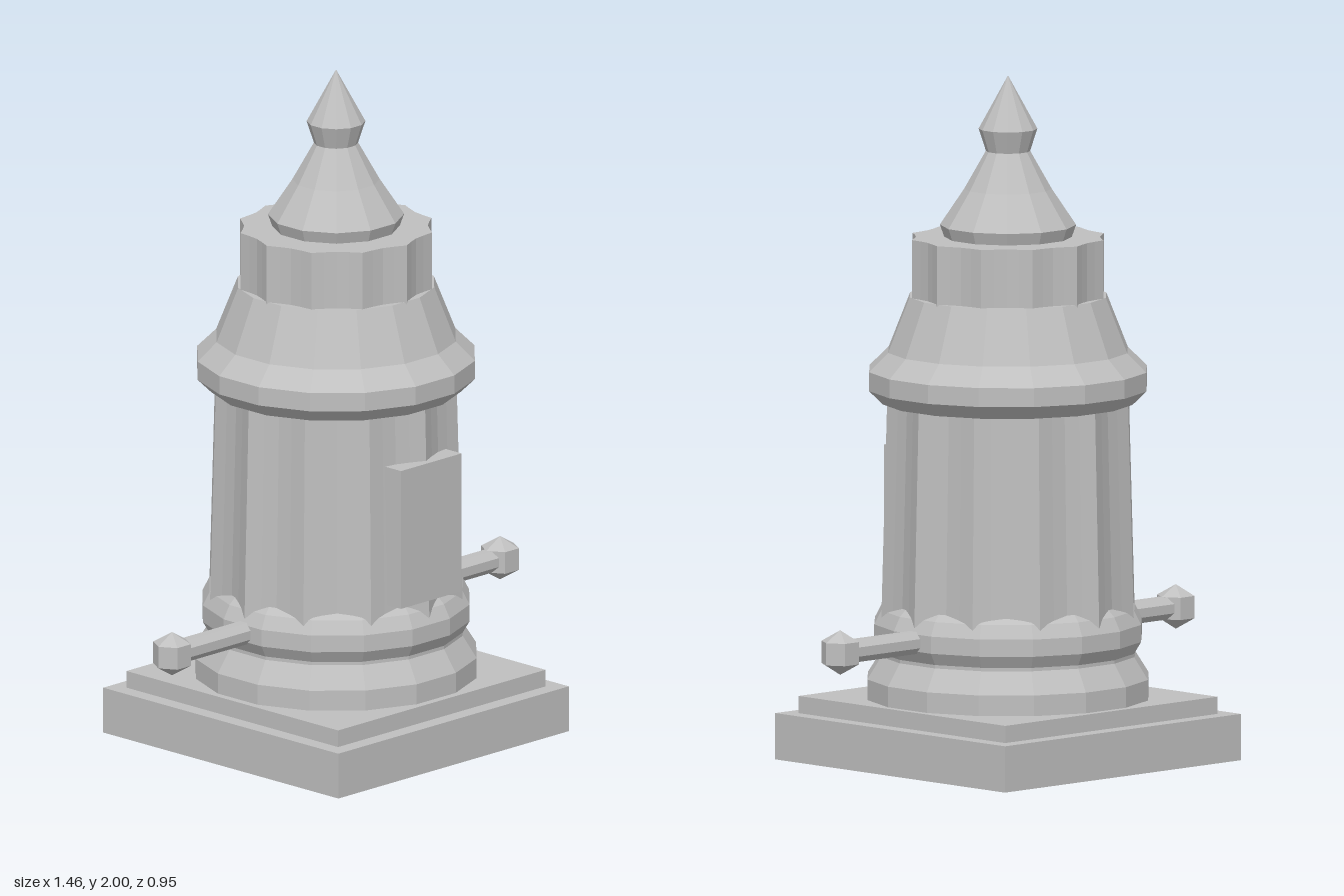
import * as THREE from 'three';

export function createModel() {
  const model = new THREE.Group();
  model.name = 'stonePillar';
  const stone = new THREE.MeshStandardMaterial({ color: 0xbfbfbf, flatShading: true });
  stone.name = 'grey stone';

  function add(name, geometry, x = 0, y = 0, z = 0) {
    const mesh = new THREE.Mesh(geometry, stone);
    mesh.name = name;
    mesh.position.set(x, y, z);
    model.add(mesh);
    return mesh;
  }

  // Faceted turned part with flats facing the front and sides; widths are measured across the flats
  function turned(name, sides, profile) {
    const k = 1 / Math.cos(Math.PI / sides);
    const points = profile.map(([r, y]) => new THREE.Vector2(r * k, y));
    return add(name, new THREE.LatheGeometry(points, sides, Math.PI / sides));
  }

  // Cylinder with twelve concave flutes between sharp ridges
  function fluted(name, rTop, rBottom, y0, y1) {
    const depth = [1, 0.95, 0.928, 0.95];
    const geo = new THREE.CylinderGeometry(rTop, rBottom, y1 - y0, 48);
    const p = geo.attributes.position;
    for (let i = 0; i < p.count; i++) {
      const a = Math.atan2(p.getX(i), p.getZ(i)) + Math.PI * 2;
      const f = depth[Math.round(a / (Math.PI / 24)) % 4];
      p.setX(i, p.getX(i) * f);
      p.setZ(i, p.getZ(i) * f);
    }
    geo.computeVertexNormals();
    return add(name, geo, 0, (y0 + y1) / 2, 0);
  }

  // Square footing
  add('plinth', new THREE.BoxGeometry(0.95, 0.135, 0.95), 0, 0.0725, 0);
  add('plinthStep', new THREE.BoxGeometry(0.855, 0.055, 0.855), 0, 0.1625, 0);

  // Moulded base, fluted column and flared collar
  turned('baseMoulding', 16, [
    [0, 0.19], [0.405, 0.19], [0.405, 0.25], [0.365, 0.315], [0.365, 0.325],
    [0.385, 0.36], [0.385, 0.41], [0.365, 0.45], [0.34, 0.475], [0, 0.475],
  ]);
  fluted('column', 0.36, 0.378, 0.4, 1.06);
  turned('collar', 16, [
    [0, 1.05], [0.36, 1.05], [0.4, 1.09], [0.4, 1.145], [0.345, 1.2], [0.283, 1.36], [0, 1.36],
  ]);

  // Inner shaft, showing above the collar as a fluted crown
  fluted('crownShaft', 0.286, 0.286, 0, 1.53);

  // Pointed roof and finial
  turned('roof', 12, [[0, 1.53], [0.178, 1.53], [0.19, 1.565], [0.122, 1.67], [0.062, 1.78], [0, 1.78]]);
  turned('finial', 12, [[0, 1.775], [0.06, 1.775], [0.082, 1.845], [0, 2]]);

  // Raised panel on the front
  add('frontPanel', new THREE.BoxGeometry(0.25, 0.415, 0.065), 0, 0.69, 0.3525);

  // Side arms with knobs
  for (const side of [1, -1]) {
    const prefix = side > 0 ? 'left' : 'right';
    const rod = new THREE.CylinderGeometry(0.035, 0.035, 0.3, 8);
    rod.rotateY(Math.PI / 8);
    rod.rotateZ(Math.PI / 2);
    add(prefix + 'Arm', rod, side * 0.49, 0.385, 0);
    add(prefix + 'Knob', new THREE.SphereGeometry(0.065, 6, 3), side * 0.676, 0.385, 0);
  }
  return model;
}
